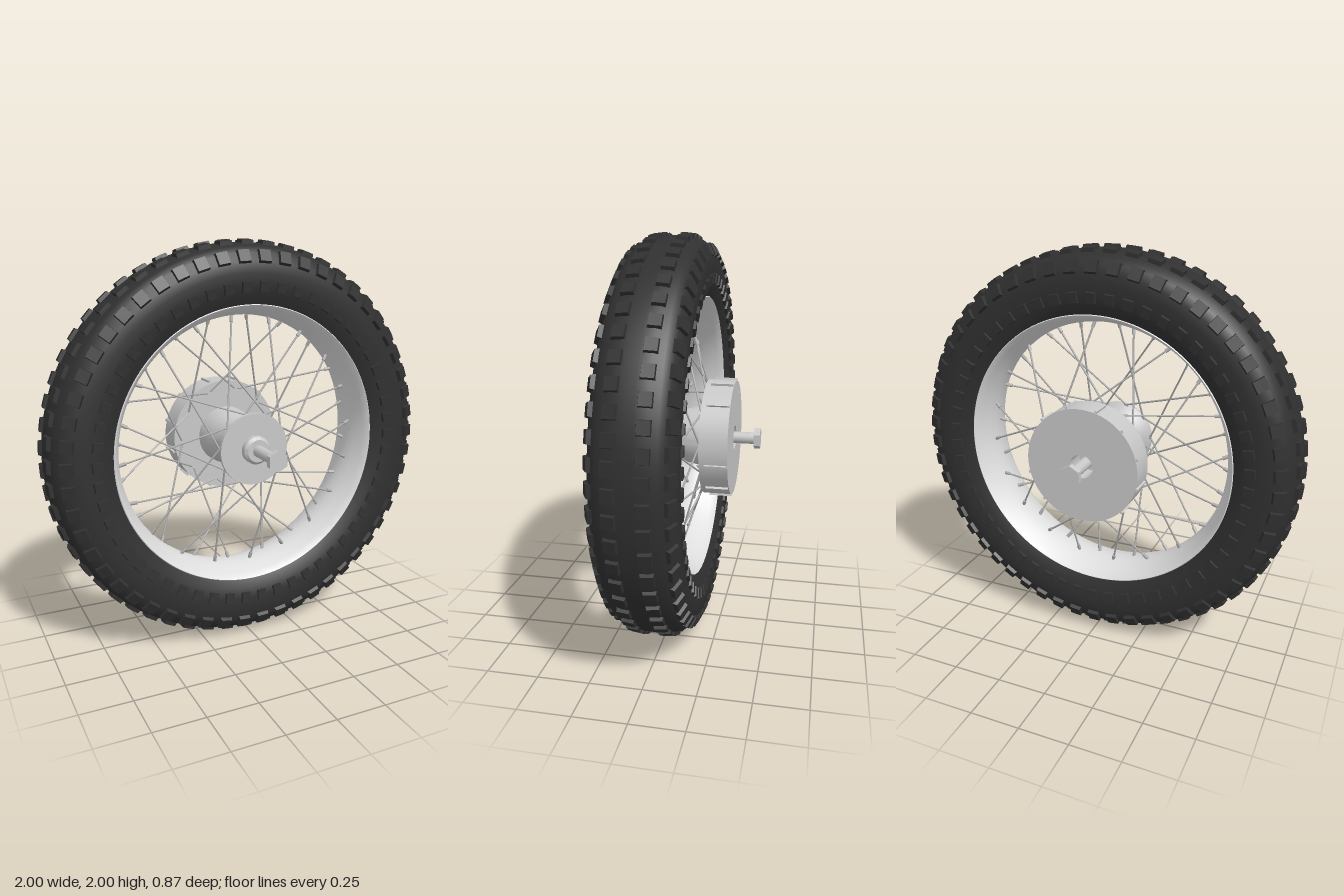
import * as THREE from 'three';
import { mergeGeometries, toCreasedNormals } from 'three/addons/utils/BufferGeometryUtils.js';

const mat = (name, color) => {
  const m = new THREE.MeshStandardMaterial({ color });
  m.name = name;
  return m;
};

// Lathe around the z axis; profile points are [radius, z]
function latheZ(points, segments = 96) {
  const g = new THREE.LatheGeometry(points.map(([r, z]) => new THREE.Vector2(r, z)), segments);
  return toCreasedNormals(g.rotateX(Math.PI / 2), 0.6);
}

// Cylinder running between two points
function rod(a, b, radius, sides = 6) {
  const dir = b.clone().sub(a);
  const g = new THREE.CylinderGeometry(radius, radius, dir.length(), sides);
  g.applyQuaternion(new THREE.Quaternion().setFromUnitVectors(new THREE.Vector3(0, 1, 0), dir.normalize()));
  const mid = a.clone().add(b).multiplyScalar(0.5);
  return g.translate(mid.x, mid.y, mid.z);
}

const polar = (r, angle, z) => new THREE.Vector3(r * Math.cos(angle), r * Math.sin(angle), z);

// Ring of tapered tread blocks; tilt leans the block from radial towards z
function treadRow(count, r, z, tilt, width, length, height, phase) {
  const blocks = [];
  for (let i = 0; i < count; i++) {
    const g = new THREE.BoxGeometry(height, width, length);
    const p = g.attributes.position;
    for (let k = 0; k < p.count; k++) {
      if (p.getX(k) > 0) p.setXYZ(k, p.getX(k), p.getY(k) * 0.86, p.getZ(k) * 0.86);
    }
    g.computeVertexNormals();
    g.rotateY(-tilt).translate(r, 0, z);
    blocks.push(g.rotateZ(((i + phase) / count) * Math.PI * 2));
  }
  return mergeGeometries(blocks);
}

export function createModel() {
  const rubber = mat('black rubber', 0x303030);
  const rimMetal = mat('bright rim metal', 0xdedede);
  const hubMetal = mat('hub metal', 0xc8c8c8);
  const spokeMetal = mat('spoke metal', 0xb0b0b0);

  const model = new THREE.Group();
  model.name = 'spokedWheel';
  const wheel = new THREE.Group();
  wheel.name = 'wheel';
  wheel.position.y = 1;
  model.add(wheel);
  const add = (name, geometry, material) => {
    const mesh = new THREE.Mesh(geometry, material);
    mesh.name = name;
    wheel.add(mesh);
  };

  // Tyre: half profile mirrored across z = 0
  const half = [[0.69, 0.13], [0.697, 0.15], [0.74, 0.174], [0.79, 0.186], [0.85, 0.186],
    [0.9, 0.179], [0.94, 0.159], [0.968, 0.125], [0.983, 0.08], [0.987, 0.03]];
  add('tyre', latheZ([...half.map(([r, z]) => [r, -z]), ...half.slice().reverse()], 128), rubber);

  // Tread: centre, shoulder and sidewall rows on both sides
  for (const s of [-1, 1]) {
    const phase = s > 0 ? 0 : 0.5;
    add('centreTread', treadRow(56, 0.986, s * 0.07, s * 0.12, 0.068, 0.064, 0.026, phase), rubber);
    add('shoulderTread', treadRow(54, 0.922, s * 0.17, s * 1.1, 0.066, 0.068, 0.026, phase), rubber);
    add('sidewallTread', treadRow(54, 0.785, s * 0.185, s * 1.68, 0.052, 0.056, 0.02, phase), rubber);
  }

  // Rim: smooth drop-centre band with rolled edges
  add('rim', latheZ([[0.705, 0.148], [0.697, 0.156], [0.69, 0.15], [0.676, 0.12], [0.655, 0.07],
    [0.645, 0.03], [0.643, 0], [0.645, -0.03], [0.655, -0.07], [0.676, -0.12], [0.69, -0.15],
    [0.697, -0.156], [0.705, -0.148], [0.705, 0.148]], 128), rimMetal);

  // Hub barrel flaring out to the front flange
  add('hub', latheZ([[0.15, -0.18], [0.147, -0.12], [0.135, -0.06], [0.123, 0], [0.12, 0.05],
    [0.127, 0.1], [0.145, 0.14], [0.18, 0.168], [0.18, 0.185], [0, 0.185]]), hubMetal);
  add('hubCollar', latheZ([[0.07, 0.18], [0.07, 0.214], [0.056, 0.228], [0, 0.228]], 48), hubMetal);

  // Brake drum with a recess around the axle and thin ribs on its edge
  add('brakeDrum', latheZ([[0, -0.2], [0.06, -0.2], [0.06, -0.308], [0.288, -0.308],
    [0.288, -0.17], [0, -0.17]]), hubMetal);
  const ribs = [];
  for (let i = 0; i < 12; i++) {
    ribs.push(new THREE.BoxGeometry(0.026, 0.012, 0.11).translate(0.286, 0, -0.25)
      .rotateZ(((i + 0.5) / 12) * Math.PI * 2));
  }
  add('drumRibs', mergeGeometries(ribs), hubMetal);

  // Axle and hexagonal end nuts
  add('axle', rod(new THREE.Vector3(0, 0, -0.42), new THREE.Vector3(0, 0, 0.42), 0.029, 24), hubMetal);
  for (const s of [-1, 1]) {
    const nut = new THREE.CylinderGeometry(0.053, 0.053, 0.03, 6).toNonIndexed();
    nut.computeVertexNormals();
    add(s > 0 ? 'frontNut' : 'backNut', nut.rotateX(Math.PI / 2).translate(0, 0, s * 0.422), hubMetal);
  }

  // Crossed spokes, alternating between front flange and drum, with nipples at the rim
  const spokes = [], nipples = [];
  for (let i = 0; i < 40; i++) {
    const front = i % 2 === 0;
    const lean = Math.floor(i / 2) % 2 ? 1 : -1;
    const angle = ((i + 0.5) / 40) * Math.PI * 2;
    const outer = polar(0.645, angle, front ? 0.025 : -0.025);
    const inner = front ? polar(0.165, angle + lean * 0.95, 0.172) : polar(0.25, angle + lean * 0.75, -0.165);
    spokes.push(rod(inner, outer, 0.0048));
    nipples.push(rod(outer.clone().lerp(inner, 0.06), outer, 0.009, 8));
  }
  add('spokes', mergeGeometries(spokes), spokeMetal);
  add('spokeNipples', mergeGeometries(nipples), spokeMetal);

  return model;
}
